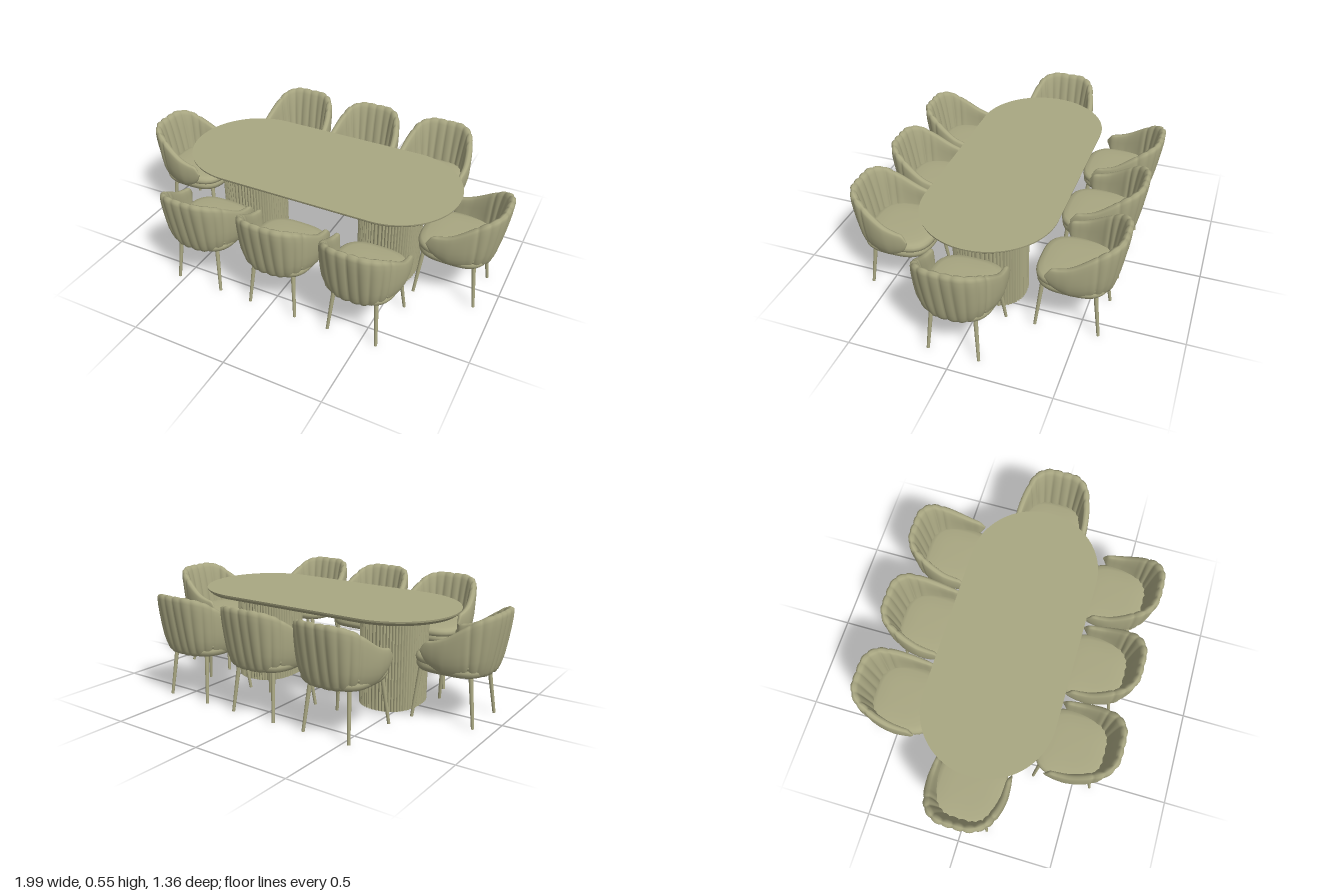
import * as THREE from 'three';
import { toCreasedNormals } from 'three/addons/utils/BufferGeometryUtils.js';

const material = new THREE.MeshStandardMaterial({ color: 0xa9a782, side: THREE.DoubleSide });

function addMesh(parent, name, geometry) {
  const mesh = new THREE.Mesh(geometry, material);
  mesh.name = name;
  parent.add(mesh);
  return mesh;
}

const toVectors = (pts) => pts.map(([x, y]) => new THREE.Vector2(x, y));
const power = (v, e) => Math.sign(v) * Math.abs(v) ** e;

// Stadium-shaped top: a turned disc split in half and pulled apart, with a chamfered underside
function tableTopGeometry() {
  const profile = toVectors([[0, 0.475], [0.318, 0.475], [0.336, 0.491], [0.338, 0.5], [0, 0.5]]);
  const g = new THREE.LatheGeometry(profile, 96, Math.PI / 96);
  const p = g.attributes.position;
  for (let i = 0; i < p.count; i++) {
    const x = p.getX(i);
    if (Math.abs(x) > 1e-6) p.setX(i, x + Math.sign(x) * 0.403);
  }
  return toCreasedNormals(g, 0.4);
}

// Oval column with convex vertical flutes
function pedestalGeometry() {
  const flutes = 64, steps = 6, pts = [];
  for (let i = 0; i < flutes * steps; i++) {
    const a = (i / (flutes * steps)) * Math.PI * 2;
    const r = 0.965 + 0.035 * Math.abs(Math.sin((i / steps) * Math.PI));
    pts.push(new THREE.Vector2(
      0.157 * r * power(Math.cos(a), 0.87),
      0.19 * r * power(Math.sin(a), 0.87)));
  }
  const g = new THREE.ExtrudeGeometry(new THREE.Shape(pts), { depth: 0.476, bevelEnabled: false });
  g.rotateX(-Math.PI / 2);
  return toCreasedNormals(g, 0.6);
}

// Upholstered pad: a turned profile remapped to a rounded-square plan
function padGeometry(profile, halfWidth, halfDepth, zCentre) {
  const g = new THREE.LatheGeometry(toVectors(profile), 48);
  const p = g.attributes.position;
  for (let i = 0; i < p.count; i++) {
    const x = p.getX(i), z = p.getZ(i), r = Math.hypot(x, z);
    if (r < 1e-6) { p.setZ(i, zCentre); continue; }
    const k = 1 / (Math.abs(x / r) ** 3.2 + Math.abs(z / r) ** 3.2) ** (1 / 3.2);
    p.setX(i, x * k * halfWidth);
    p.setZ(i, z * k * halfDepth + zCentre);
  }
  g.computeVertexNormals();
  return toCreasedNormals(g, 0.9);
}

// Wrap-around back and arms: an upright rounded section swept along a U-shaped plan
function shellGeometry() {
  // plan x, plan z, bottom, top, thickness; from the middle of the back to the arm tip
  const half = [
    [0, 0.18, 0.243, 0.553, 0.046],
    [0.085, 0.174, 0.243, 0.552, 0.046],
    [0.15, 0.135, 0.243, 0.53, 0.046],
    [0.187, 0.065, 0.244, 0.482, 0.044],
    [0.203, -0.01, 0.25, 0.434, 0.04],
    [0.202, -0.07, 0.275, 0.411, 0.034],
    [0.197, -0.112, 0.305, 0.399, 0.026],
    [0.192, -0.137, 0.352, 0.362, 0.006],
  ];
  const rows = [...half.slice(1).reverse().map(([x, ...rest]) => [-x, ...rest]), ...half];
  const plan = new THREE.CatmullRomCurve3(
    rows.map((r) => new THREE.Vector3(r[0], 0, r[1])), false, 'catmullrom');
  const size = new THREE.CatmullRomCurve3(
    rows.map((r) => new THREE.Vector3(r[2], r[3], r[4])), false, 'catmullrom');

  const N = 200, M = 20, pos = [], index = [];
  const points = plan.getPoints(N), arc = [0];
  for (let i = 1; i <= N; i++) arc.push(arc[i - 1] + points[i].distanceTo(points[i - 1]));

  for (let i = 0; i <= N; i++) {
    const c = points[i], t = plan.getTangent(i / N), s = size.getPoint(i / N);
    const nx = -t.z, nz = t.x;
    const mid = (s.x + s.y) / 2, h = (s.y - s.x) / 2;
    // padded channels on the back, fading out into smooth arms
    const d = arc[i] - arc[N] / 2;
    const fade = 1 - THREE.MathUtils.smoothstep(Math.abs(d), 0.2, 0.255);
    const rib = 0.008 * fade * (Math.abs(Math.sin((d / 0.051) * Math.PI)) ** 0.7 - 0.8);
    for (let j = 0; j < M; j++) {
      const a = (j / M) * Math.PI * 2;
      const side = power(Math.cos(a), 0.5);
      const y = mid + (h + rib * 0.5) * power(Math.sin(a), 0.85);
      const lean = 0.17 * (y - 0.36) * Math.max(0, nz);
      const tuck = y < 0.36 ? -0.024 * ((0.36 - y) / 0.115) ** 2 * Math.abs(nx) : 0;
      const o = -s.z / 2 + side * (s.z / 2 + rib) + lean + tuck;
      pos.push(c.x + nx * o, y, c.z + nz * o);
      if (i < N) {
        const k = (j + 1) % M;
        const p = i * M + j, q = p + M, r = i * M + k, w = r + M;
        index.push(p, q, r, q, w, r);
      }
    }
  }
  const g = new THREE.BufferGeometry();
  g.setAttribute('position', new THREE.Float32BufferAttribute(pos, 3));
  g.setIndex(index);
  g.computeVertexNormals();
  return g;
}

// Slim tapered leg between two points
function addLeg(parent, name, top, bottom) {
  const a = new THREE.Vector3(...bottom), b = new THREE.Vector3(...top);
  const leg = addMesh(parent, name, new THREE.CylinderGeometry(0.011, 0.0075, a.distanceTo(b), 14));
  leg.position.copy(a).add(b).multiplyScalar(0.5);
  leg.quaternion.setFromUnitVectors(new THREE.Vector3(0, 1, 0), b.sub(a).normalize());
}

// Chair with its back toward +z
function buildChair() {
  const chair = new THREE.Group();
  addMesh(chair, 'chairShell', shellGeometry());
  addMesh(chair, 'seatBase', padGeometry(
    [[0, 0.243], [0.85, 0.243], [0.94, 0.248], [0.99, 0.262], [1, 0.275], [0.97, 0.288], [0, 0.29]],
    0.176, 0.178, -0.03));
  addMesh(chair, 'seatCushion', padGeometry(
    [[0, 0.283], [0.93, 0.283], [0.98, 0.289], [1, 0.302], [0.985, 0.314], [0.93, 0.323],
      [0.8, 0.328], [0.5, 0.331], [0, 0.332]],
    0.18, 0.18, -0.032));
  for (const s of [-1, 1]) {
    addLeg(chair, 'frontLeg', [s * 0.118, 0.255, -0.165], [s * 0.148, 0.001, -0.19]);
    addLeg(chair, 'rearLeg', [s * 0.105, 0.255, 0.085], [s * 0.126, 0.001, 0.118]);
  }
  return chair;
}

export function createModel() {
  const model = new THREE.Group();
  model.name = 'diningSet';

  // Table
  const table = new THREE.Group();
  table.name = 'table';
  addMesh(table, 'tableTop', tableTopGeometry()).position.set(0.004, 0, 0.002);
  const column = pedestalGeometry();
  for (const x of [-0.405, 0.4]) addMesh(table, 'pedestal', column).position.set(x, 0, 0.008);
  model.add(table);

  // Chairs: three along each long side and one at each end
  const chair = buildChair();
  const place = (name, x, z, turn) => {
    const copy = chair.clone();
    copy.name = name;
    copy.position.set(x, 0, z);
    copy.rotation.y = turn;
    model.add(copy);
  };
  for (const x of [-0.407, 0.022, 0.452]) {
    place('frontChair', x, 0.475, 0);
    place('backChair', x, -0.478, Math.PI);
  }
  place('leftEndChair', 0.788, 0.008, Math.PI / 2);
  place('rightEndChair', -0.788, 0.003, -Math.PI / 2);
  return model;
}
